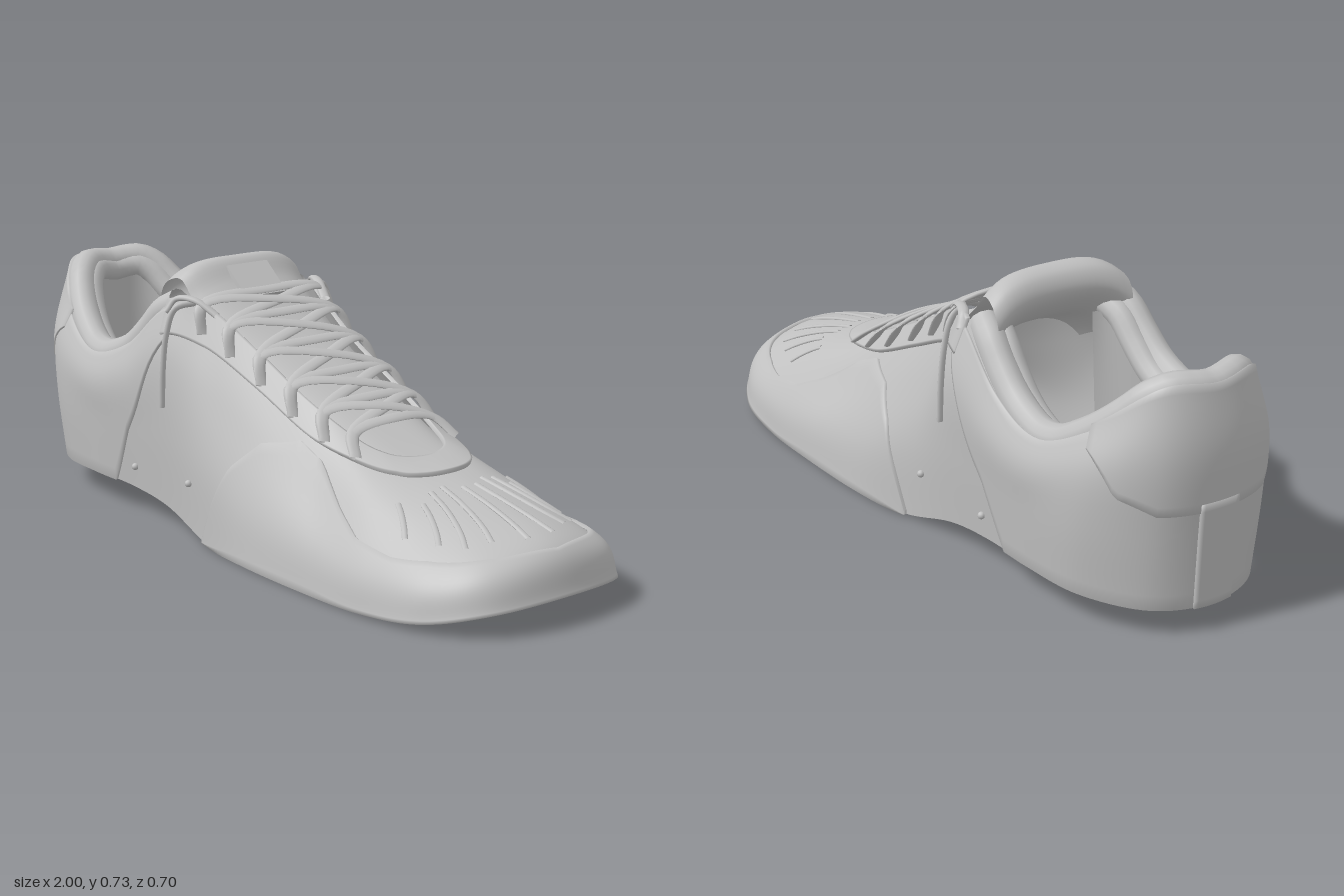
import * as THREE from 'three';

const V = (x, y, z) => new THREE.Vector3(x, y, z);

// Half outline from heel centre to toe centre: four rails from the bottom edge to the opening
const bottom = [[-.97, .075, 0], [-.925, .08, .15], [-.78, .088, .25], [-.6, .09, .275], [-.42, .085, .275], [-.25, .065, .28],
  [-.05, .012, .3], [.15, .01, .33], [.4, .008, .338], [.62, .012, .338], [.81, .03, .31], [.945, .065, .21], [.988, .08, 0]];
const lower = [[-.977, .28, 0], [-.94, .28, .155], [-.8, .28, .265], [-.6, .26, .29], [-.42, .26, .29], [-.25, .28, .293],
  [-.06, .22, .293], [.14, .16, .308], [.4, .12, .316], [.62, .11, .315], [.8, .125, .28], [.91, .16, .185], [.945, .188, 0]];
const upper = [[-.985, .48, 0], [-.95, .48, .15], [-.82, .43, .255], [-.62, .37, .295], [-.43, .4, .297], [-.27, .48, .29],
  [-.1, .41, .25], [.1, .33, .24], [.33, .245, .24], [.53, .235, .23], [.68, .228, .185], [.75, .24, .11], [.77, .25, 0]];
const top = [[-.958, .648, 0], [-.92, .648, .13], [-.8, .54, .215], [-.63, .455, .26], [-.45, .505, .258], [-.285, .638, .24],
  [-.18, .625, .185], [0, .53, .155], [.2, .43, .145], [.36, .355, .125], [.44, .328, .1], [.475, .318, .06], [.49, .315, 0]];

// Each rail is mirrored into a closed loop of 24 stations (0 = heel, 12 = toe)
const rails = [bottom, lower, upper, top].map(half => {
  const points = half.map(p => V(...p));
  for (let i = 11; i > 0; i--) points.push(V(half[i][0], half[i][1], -half[i][2]));
  return new THREE.CatmullRomCurve3(points, true, 'catmullrom', 0.5);
});
const onRail = (r, s) => rails[r].getPoint((((s % 24) + 24) % 24) / 24);
const clamp01 = v => Math.min(1, Math.max(0, v));

function surface(s, v, offset = 0) {
  const at = (a, b) => new THREE.CatmullRomCurve3([0, 1, 2, 3].map(r => onRail(r, a)), false, 'catmullrom', 0.5).getPoint(clamp01(b));
  const p = at(s, v);
  if (!offset) return p;
  const ds = at(s + .02, v).sub(at(s - .02, v));
  const dv = at(s, Math.min(1, v + .02)).sub(at(s, Math.max(0, v - .02)));
  return p.addScaledVector(ds.cross(dv).normalize(), offset);
}

// Grid mesh from a point rule
function grid(fn, nu, nv) {
  const pos = [], index = [];
  for (let i = 0; i <= nu; i++) for (let j = 0; j <= nv; j++) {
    pos.push(...fn(i / nu, j / nv, i, j).toArray());
    if (i < nu && j < nv) {
      const a = i * (nv + 1) + j, b = a + nv + 1;
      index.push(a, b, b + 1, a, b + 1, a + 1);
    }
  }
  const g = new THREE.BufferGeometry();
  g.setAttribute('position', new THREE.Float32BufferAttribute(pos, 3));
  g.setIndex(index);
  g.computeVertexNormals();
  return g;
}

// Piecewise linear lookup in [key, value] pairs
function lookup(table, k) {
  if (k <= table[0][0]) return table[0][1];
  for (let i = 1; i < table.length; i++) if (k <= table[i][0]) {
    const [a, b] = [table[i - 1], table[i]];
    return a[1] + (b[1] - a[1]) * (k - a[0]) / (b[0] - a[0]);
  }
  return table[table.length - 1][1];
}

// Raised panel following the shell, with a thin lip round its edge
function panel(s0, s1, low, high, offset, nu = 96, nv = 16) {
  return grid((a, b, i, j) => {
    const s = s0 + (s1 - s0) * clamp01((i - 1) / (nu - 2)), k = Math.min(Math.abs(s), 24 - s);
    const lo = lookup(low, k), hi = lookup(high, k);
    const edge = i === 0 || j === 0 || i === nu || j === nv;
    return surface(s, lo + (hi - lo) * clamp01((j - 1) / (nv - 2)), edge ? 0.0005 : offset);
  }, nu, nv);
}

// Flat lace with an oval section along a curve
function ribbon(points, width, thick, up = V(0, 1, 0), steps = 24) {
  const curve = new THREE.CatmullRomCurve3(points);
  return grid((a, b) => {
    const t = curve.getTangent(a), w = t.clone().cross(up).normalize(), n = w.clone().cross(t);
    return curve.getPoint(a).addScaledVector(w, Math.cos(b * Math.PI * 2) * width).addScaledVector(n, -Math.sin(b * Math.PI * 2) * thick);
  }, steps, 10);
}

export function createModel() {
  const group = new THREE.Group();
  const grey = new THREE.MeshStandardMaterial({ color: 0xc0c0c0, side: THREE.DoubleSide });
  grey.name = 'plain grey';
  const add = (name, geometry) => {
    const mesh = new THREE.Mesh(geometry, grey);
    mesh.name = name;
    group.add(mesh);
    return mesh;
  };

  // Main shell and its stitched overlays
  add('upperShell', grid((a, b) => surface(a * 24, b), 144, 24));
  add('toeCap', panel(5.95, 18.05, [[0, 0]],
    [[5.95, .02], [6.2, .2], [6.6, .45], [7.1, .66], [7.8, .82], [8.2, .8], [8.5, .62], [8.8, .5], [9.4, .45], [10, .45], [11, .4], [12, .33]], .01, 160));
  add('quarterPanel', panel(-5.2, 5.2, [[3.55, 0], [4, .33], [4.6, .58], [5.2, .82]], [[0, .95]], .008));
  add('laceStay', panel(5, 19, [[5, .8], [6, .84], [8, .86], [9, .88], [10, .9], [12, .9]], [[0, 1]], .012, 120));
  add('heelTab', panel(-2.1, 2.1, [[0, .42], [1, .43], [1.6, .52], [2.1, .82]], [[0, 1]], .012, 48));
  add('heelStrip', panel(-.35, .35, [[0, 0]], [[0, .46]], .014, 12));

  // Padded collar in two rolls, inner lining and bottom flange
  const inset = (p, f, g) => V(-.62 + (p.x + .62) * f, p.y, p.z * g);
  for (const [name, f, g, drop, radius] of [['collarPadding', .92, .87, .022, .042], ['collarInnerRoll', .865, .735, .042, .036]]) {
    const points = [];
    for (let s = -5.2; s <= 5.21; s += .4) points.push(inset(onRail(3, s), f, g).add(V(0, -drop, 0)));
    add(name, new THREE.TubeGeometry(new THREE.CatmullRomCurve3(points), 80, radius, 12));
  }
  const lining = (s, b) => {
    const p = inset(onRail(3, s), .8, .62).add(V(0, -.06, 0));
    const q = inset(onRail(0, s), .93, .88).add(V(0, .01, 0));
    return p.lerp(q, Math.sin(b * Math.PI / 2));
  };
  add('lining', grid((a, b) => lining(a * 11.2 - 5.6, 1 - Math.pow(1 - b, 1.4)), 72, 14));
  add('bottomFlange', grid((a, b) => onRail(0, a * 10 - 5).lerp(lining(a * 10 - 5, 1), b), 60, 2));

  // Tongue: profile [x, y, half width] rolled over at the top
  const spine = new THREE.CatmullRomCurve3([[.56, .285, .15], [.44, .328, .14], [.3, .385, .15], [.1, .475, .165], [-.1, .58, .185],
    [-.22, .675, .195], [-.275, .735, .2], [-.325, .722, .21], [-.345, .67, .21], [-.29, .6, .2], [-.15, .53, .18]].map(p => V(...p)));
  add('tongue', grid((a, b) => {
    const p = spine.getPoint(a), t = b * 2 - 1;
    return V(p.x - .03 * t * t * a, p.y - (.015 + .05 * a) * t * t * t * t, p.z * t);
  }, 60, 20));
  const tag = add('tongueTag', new THREE.BoxGeometry(.115, .012, .14));
  tag.position.set(-.212, .676, 0);
  tag.rotation.z = -.7;

  // Laces: bars and crossing ribbons that run over the stay into its eyelets
  const rows = [5.9, 6.5, 7.1, 7.7, 8.3, 8.9].map(s => [surface(s, .88, .017), surface(s, .99, .024)]);
  const turn = (p, side) => V(p.x, p.y, p.z * side);
  const slope = V(.45, 1, 0).normalize();
  const lace = (name, from, to, side, lift) => {
    const mid = turn(from[1], side).lerp(turn(to[1], -side), .5).add(V(0, lift, 0));
    add(name, ribbon([turn(from[0], side), turn(from[1], side), mid, turn(to[1], -side), turn(to[0], -side)], .017, .006, slope));
  };
  rows.forEach((row, i) => {
    lace('laceBar', row, row, 1, .02);
    if (i < rows.length - 1) for (const side of [1, -1]) lace('laceCross', row, rows[i + 1], side, .022 + side * .004);
  });

  for (const side of [1, -1]) {
    // Hanging lace ends and the loops they come from
    add('laceEnd', ribbon([V(-.2, .64, .2 * side), V(-.23, .625, .262 * side), V(-.238, .56, .287 * side),
      V(-.24, .46, .3 * side), V(-.24, .355, .304 * side)], .009, .006, V(1, 0, 0)));
    add('laceLoop', ribbon([V(-.14, .61, .19 * side), V(-.2, .645, .215 * side), V(-.255, .645, .24 * side), V(-.275, .61, .26 * side)], .014, .008));
    // Small studs along the lower side
    for (const [s, v] of [[4.1, .12], [5.6, .2]]) {
      const stud = add('sideStud', new THREE.SphereGeometry(.01, 10, 8));
      stud.position.copy(surface(side * s, v, .004));
    }
    // Ridges on the toe box, with bumps beneath them
    for (const [k, v0, v1] of [[11.75, .82, .45], [11.2, .84, .5], [10.7, .82, .5], [10.2, .76, .54], [9.6, .74, .56]]) {
      const s = side * k, at = (t, o) => surface(s, v0 + (v1 - v0) * t, o);
      add('toeRidge', ribbon([at(0, 0), at(.3, .001), at(.7, .001), at(1, 0)], .008, .005));
      for (let i = 0; i < 4; i++) {
        const bump = add('innerBump', new THREE.SphereGeometry(.015, 8, 6));
        bump.position.copy(at(.1 + i * .27, -.016));
      }
    }
  }
  return group;
}
